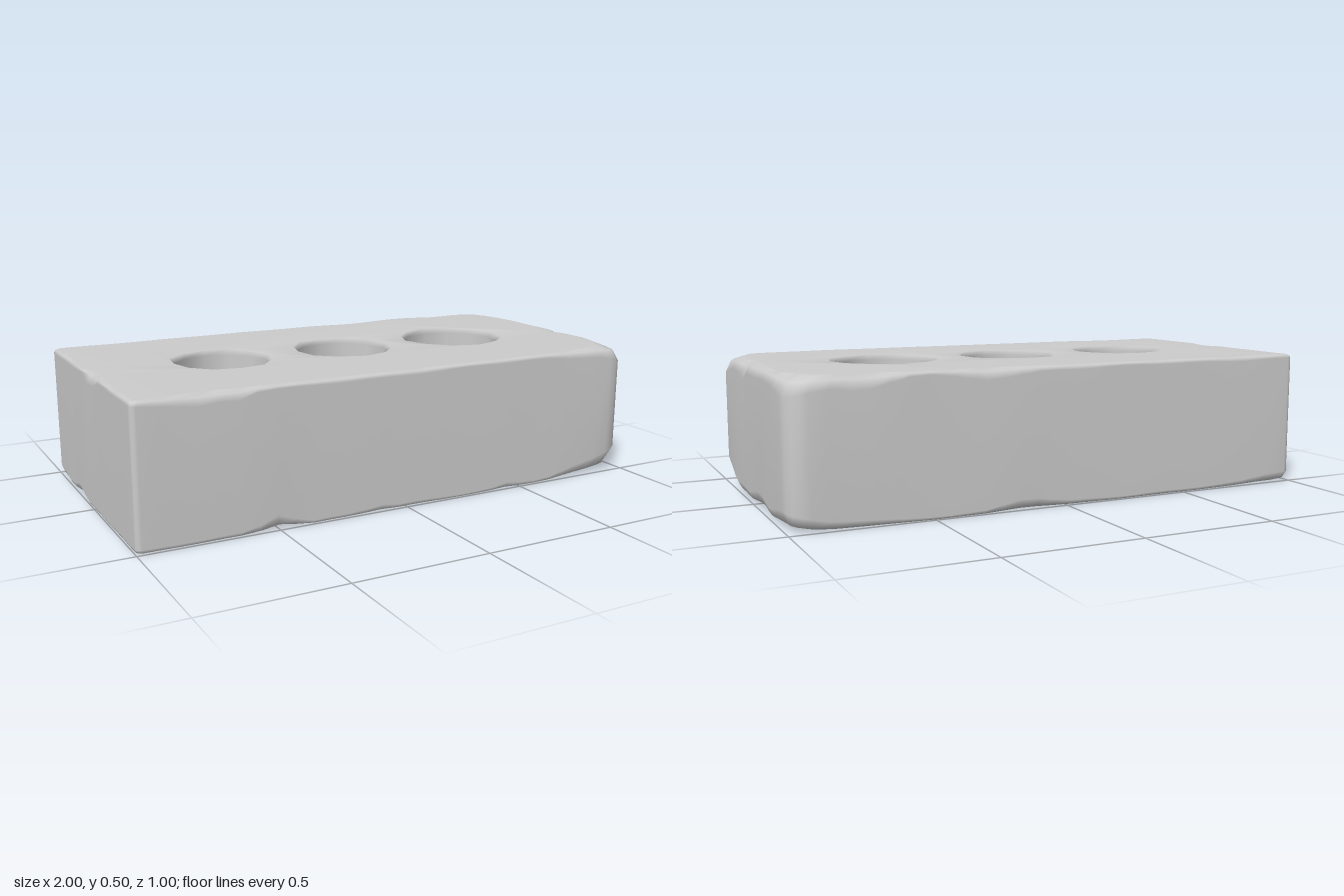
import * as THREE from 'three';
import { mergeVertices } from 'three/addons/utils/BufferGeometryUtils.js';

const HX = 1, HZ = 0.5, H = 0.5;

// Chipped spots on the edges: [x, z, depth, half-width]
const TOP_CHIPS = [
  [-0.78, 0.5, 0.025, 0.2], [-1, 0.03, 0.04, 0.09], [0.3, -0.5, 0.025, 0.22], [0.75, -0.5, 0.03, 0.15],
  [-0.62, 0.5, 0.02, 0.05], [1, 0.12, 0.03, 0.06], [1, -0.45, 0.03, 0.15], [1, 0.45, 0.03, 0.15],
];
const BOTTOM_CHIPS = [
  [-0.5, 0.5, 0.045, 0.11], [-0.12, 0.5, 0.015, 0.07], [0.45, 0.5, 0.012, 0.08], [0.9, 0.5, 0.035, 0.25],
  [1, -0.1, 0.03, 0.15], [1, 0.42, 0.05, 0.15], [1, -0.42, 0.03, 0.15], [0.15, -0.5, 0.03, 0.16],
  [-0.95, -0.5, 0.03, 0.2], [-1, -0.2, 0.025, 0.1],
];

// Edge wear: the +x end is more worn, plus waviness and chips
function wear(x, z, chips) {
  let w = 0.014 + 0.024 * THREE.MathUtils.smoothstep(x, 0.55, 1);
  w += 0.004 * Math.sin(x * 13 + z * 9) * Math.sin(x * 5 - z * 17);
  for (const [cx, cz, depth, width] of chips) {
    w += depth * Math.max(0, 1 - Math.hypot(x - cx, z - cz) / width);
  }
  return w;
}

// Plan outline, counter-clockwise from above, with its own radius per corner
function outline() {
  const corners = [[1, -1, 0.075], [-1, -1, 0.025], [-1, 1, 0.02], [1, 1, 0.085]];
  const pts = [];
  corners.forEach(([sx, sz, r], c) => {
    for (let k = 0; k <= 4; k++) {
      const a = (c + k / 4) * Math.PI / 2;
      pts.push([sx * (HX - r) + r * Math.cos(a), sz * (HZ - r) - r * Math.sin(a)]);
    }
    // points along the side to the next corner
    const [nx, nz, nr] = corners[(c + 1) % 4];
    const a = (c + 1) * Math.PI / 2;
    const end = [nx * (HX - nr) + nr * Math.cos(a), nz * (HZ - nr) - nr * Math.sin(a)];
    const start = pts[pts.length - 1];
    const n = c % 2 ? 14 : 28;
    for (let k = 1; k < n; k++) {
      pts.push([0, 1].map((i) => start[i] + (end[i] - start[i]) * k / n));
    }
  });
  return pts;
}

// Rings from bottom to top with rounded, worn edges
function outerRings() {
  const base = outline();
  const ring = (angle, top) => base.map(([x, z]) => {
    const w = wear(x, z, top ? TOP_CHIPS : BOTTOM_CHIPS);
    const inset = w * (1 - Math.cos(angle));
    const y = w * (1 - Math.sin(angle));
    return [x * (1 - inset / HX), top ? H - y : y, z * (1 - inset / HZ)];
  });
  const q = Math.PI / 4;
  return [ring(2 * q, false), ring(q, false), ring(0, false),
    ring(0, true), ring(q, true), ring(2 * q, true)];
}

// Rings of one through-hole with a slightly ragged rim
function holeRings(cx, r, seed) {
  const sides = 12;
  return [[0, 1], [0.02, 0], [H - 0.02, 0], [H, 1]].map(([y, flare], j) =>
    Array.from({ length: sides }, (_, i) => {
      const a = i / sides * Math.PI * 2;
      const rag = 0.007 + 0.012 * Math.max(0, Math.sin(i * 2.3 + seed + j));
      const rr = r + flare * rag;
      return [cx + rr * Math.cos(a), y, -rr * Math.sin(a)];
    }));
}

function createBrickGeometry() {
  const pos = [];
  const tri = (a, b, c) => pos.push(...a, ...b, ...c);

  // Walls between successive rings
  const loft = (rings, inward) => {
    for (let j = 0; j < rings.length - 1; j++) {
      const lo = rings[j], hi = rings[j + 1];
      for (let i = 0; i < lo.length; i++) {
        const n = (i + 1) % lo.length;
        if (inward) {
          tri(lo[n], lo[i], hi[i]);
          tri(lo[n], hi[i], hi[n]);
        } else {
          tri(lo[i], lo[n], hi[n]);
          tri(lo[i], hi[n], hi[i]);
        }
      }
    }
  };
  const outer = outerRings();
  const holes = [holeRings(-0.5, 0.177, 0), holeRings(0, 0.184, 2), holeRings(0.5, 0.195, 4)];
  loft(outer, false);
  holes.forEach((h) => loft(h, true));

  // Top and bottom faces, pierced by the holes
  const cap = (contour, holeLoops, up) => {
    const flat = (loop) => loop.map((p) => new THREE.Vector2(p[0], -p[2]));
    const all = [contour, ...holeLoops].flat();
    const faces = THREE.ShapeUtils.triangulateShape(
      flat(contour), holeLoops.map((l) => flat(l).reverse()));
    const reversed = [contour, ...holeLoops.map((l) => [...l].reverse())].flat();
    for (const f of faces) {
      const [a, b, c] = f.map((i) => (all.length === reversed.length ? reversed[i] : all[i]));
      const ccw = (b[0] - a[0]) * (a[2] - c[2]) - (c[0] - a[0]) * (a[2] - b[2]) > 0;
      if (ccw === up) tri(a, b, c);
      else tri(a, c, b);
    }
  };
  cap(outer[outer.length - 1], holes.map((h) => h[h.length - 1]), true);
  cap(outer[0], holes.map((h) => h[0]), false);

  // Shared vertices give the soft, worn shading
  const raw = new THREE.BufferGeometry();
  raw.setAttribute('position', new THREE.Float32BufferAttribute(pos, 3));
  const geometry = mergeVertices(raw, 1e-5);
  geometry.computeVertexNormals();
  return geometry;
}

export function createModel() {
  const group = new THREE.Group();
  group.name = 'wornBrick';
  const brick = new THREE.Mesh(createBrickGeometry(), new THREE.MeshStandardMaterial({ color: 0xcccccc }));
  brick.name = 'brickBody';
  group.add(brick);
  return group;
}
